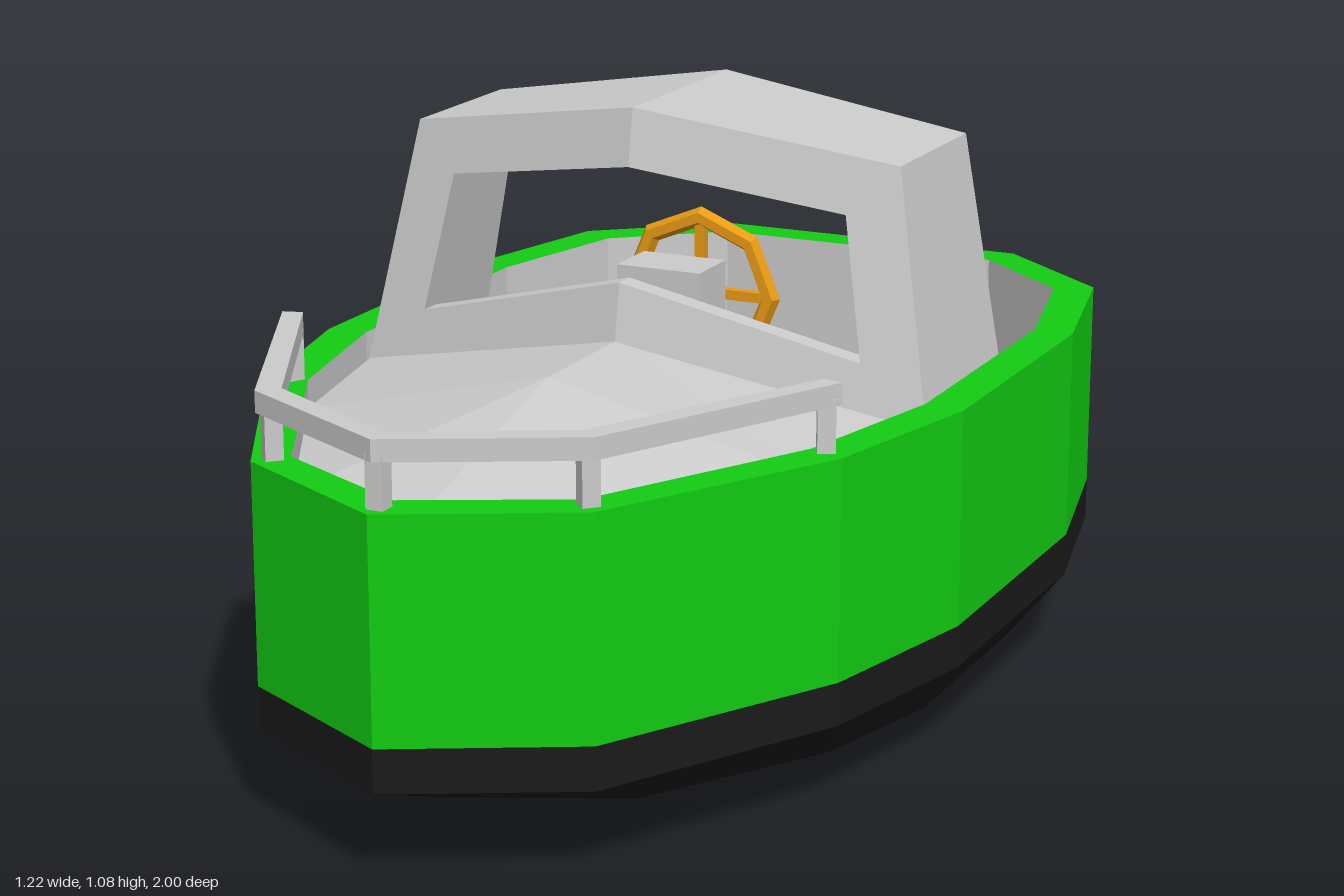
import * as THREE from 'three';

const mat = (color) => new THREE.MeshStandardMaterial({ color, flatShading: true, side: THREE.DoubleSide });
const GREY = mat(0xcccccc), GREEN = mat(0x12cc12), BLACK = mat(0x1a1a1a), ORANGE = mat(0xe89a14);

// Skins a list of equal-length rings of [x, y, z]; closed rings wrap, caps are fans.
function loft(rings, { closed = true, capStart = false, capEnd = false } = {}) {
  const n = rings[0].length, index = [];
  for (let r = 0; r < rings.length - 1; r++) {
    for (let i = 0; i < (closed ? n : n - 1); i++) {
      const a = r * n + i, b = r * n + (i + 1) % n;
      index.push(a, b, b + n, a, b + n, a + n);
    }
  }
  const last = (rings.length - 1) * n;
  for (let i = 1; i < n - 1; i++) {
    if (capStart) index.push(0, i + 1, i);
    if (capEnd) index.push(last, last + i, last + i + 1);
  }
  const g = new THREE.BufferGeometry();
  g.setAttribute('position', new THREE.Float32BufferAttribute(rings.flat(2), 3));
  g.setIndex(index);
  const flat = g.toNonIndexed();
  flat.computeVertexNormals();
  return flat;
}

// Half outline in plan [x, z], bow first, mirrored to a full loop.
const mirrorLoop = (half) => [...half, ...half.slice(1).reverse().map(([x, z]) => [-x, z])];
const OUTER = mirrorLoop([[0, 1], [0.305, 0.84], [0.535, 0.42], [0.612, 0.08], [0.612, -0.47], [0.535, -0.81], [0.305, -1]]);
const INNER = mirrorLoop([[0, 0.92], [0.26, 0.79], [0.47, 0.39], [0.54, 0.07], [0.54, -0.47], [0.47, -0.77], [0.28, -0.93]]);
const ring = (loop, y, sx = 1, sz = 1, dz = 0) => loop.map(([x, z]) => [x * sx, y, z * sz + dz]);

const FLOOR = 0.39, RIM = 0.615;

export function createModel() {
  const model = new THREE.Group();
  const add = (name, geometry, material, parent = model) => {
    const mesh = new THREE.Mesh(geometry, material);
    mesh.name = name;
    parent.add(mesh);
    return mesh;
  };

  // Hull: dark bottom, green sides with a flat rim, grey inner walls and floor
  add('hullBottom', loft([
    ring(OUTER, 0, 0.5, 0.285, -0.185), ring(OUTER, 0.055, 0.87, 0.765, -0.035),
    ring(OUTER, 0.16), ring(OUTER, 0.235),
  ], { capStart: true }), BLACK);
  add('hullSides', loft([ring(OUTER, 0.235), ring(OUTER, RIM), ring(INNER, RIM)]), GREEN);
  add('cockpitLiner', loft([ring(INNER, RIM), ring(INNER, FLOOR)], { capEnd: true }), GREY);

  // Crowned bow deck rising to a central ridge
  const apex = [0, 0.68, 0.4], ridge = [0, 0.68, 0.13];
  const deckSide = [[0.26, 0.555, 0.79], [0.47, 0.565, 0.39], [0.54, 0.565, 0.05]];
  const deckEdge = [...deckSide.map(([x, y, z]) => [-x, y, z]).reverse(), [0, 0.545, 0.92], ...deckSide];
  add('bowDeck', loft([deckEdge, [ridge, apex, apex, apex, apex, apex, ridge]], { closed: false }), GREY);

  // Cabin shell, open at the back, with a V-shaped raked windscreen opening
  const screenZ = (x, y) => 0.2735 - 0.203 * Math.abs(x) - 0.18 * y;
  const loop = ([bx, by], [tx, ty], top, bottom) =>
    [[bx, by], [tx, ty], [0, top], [-tx, ty], [-bx, by], [0, bottom]];
  const shellOut = loop([0.573, 0.38], [0.46, 1.0], 1.075, 0.38);
  const shellIn = loop([0.53, 0.385], [0.425, 0.965], 1.035, 0.385);
  const opening = loop([0.42, 0.67], [0.375, 0.915], 0.975, 0.78);
  const atBack = (l) => l.map(([x, y]) => [x, y, -0.305]);
  const atScreen = (l, offset = 0) => l.map(([x, y]) => [x, y, screenZ(x, y) - offset]);
  add('cabin', loft([
    atBack(shellOut), atScreen(shellOut), atScreen(opening),
    atScreen(opening, 0.04), atScreen(shellIn, 0.04), atBack(shellIn), atBack(shellOut),
  ]), GREY);

  // Bow rail: mitred flat bar on five posts
  const bowRail = new THREE.Group();
  bowRail.name = 'bowRail';
  model.add(bowRail);
  const railOut = [[0.52, 0.385], [0.3, 0.83], [0, 0.985]];
  const railIn = [[0.485, 0.375], [0.268, 0.8], [0, 0.945]];
  const across = (pts) => [...pts, ...pts.slice(0, -1).reverse().map(([x, z]) => [-x, z])];
  const band = [...across(railOut), ...across(railIn).reverse()];
  const barShape = new THREE.Shape(band.map(([x, z]) => new THREE.Vector2(x, -z)));
  const bar = new THREE.ExtrudeGeometry(barShape, { depth: 0.037, bevelEnabled: false });
  bar.rotateX(-Math.PI / 2);
  add('railBar', bar, GREY, bowRail).position.y = 0.693;
  for (const [x, z, turn] of [[0.497, 0.395, 0.46], [0.281, 0.812, 0.8], [0, 0.963, 0],
    [-0.281, 0.812, -0.8], [-0.497, 0.395, -0.46]]) {
    const post = add('railPost', new THREE.BoxGeometry(0.03, 0.1, 0.03), GREY, bowRail);
    post.position.set(x, 0.655, z);
    post.rotation.y = turn;
  }

  // Helm console
  add('console', new THREE.BoxGeometry(0.16, 0.77 - FLOOR, 0.11), GREY)
    .position.set(0, (0.77 + FLOOR) / 2, -0.075);

  // Octagonal steering wheel with four spokes, hub and shaft
  const wheel = new THREE.Group();
  wheel.name = 'steeringWheel';
  wheel.position.set(0, 0.69, -0.2);
  model.add(wheel);
  add('wheelRim', new THREE.TorusGeometry(0.137, 0.018, 6, 8), ORANGE, wheel);
  for (let i = 0; i < 2; i++) {
    add('spokes', new THREE.BoxGeometry(0.27, 0.018, 0.018), ORANGE, wheel).rotation.z = i * Math.PI / 2;
  }
  const hub = add('hub', new THREE.CylinderGeometry(0.025, 0.025, 0.12, 8), ORANGE, wheel);
  hub.rotation.x = Math.PI / 2;
  hub.position.z = 0.025;

  return model;
}
